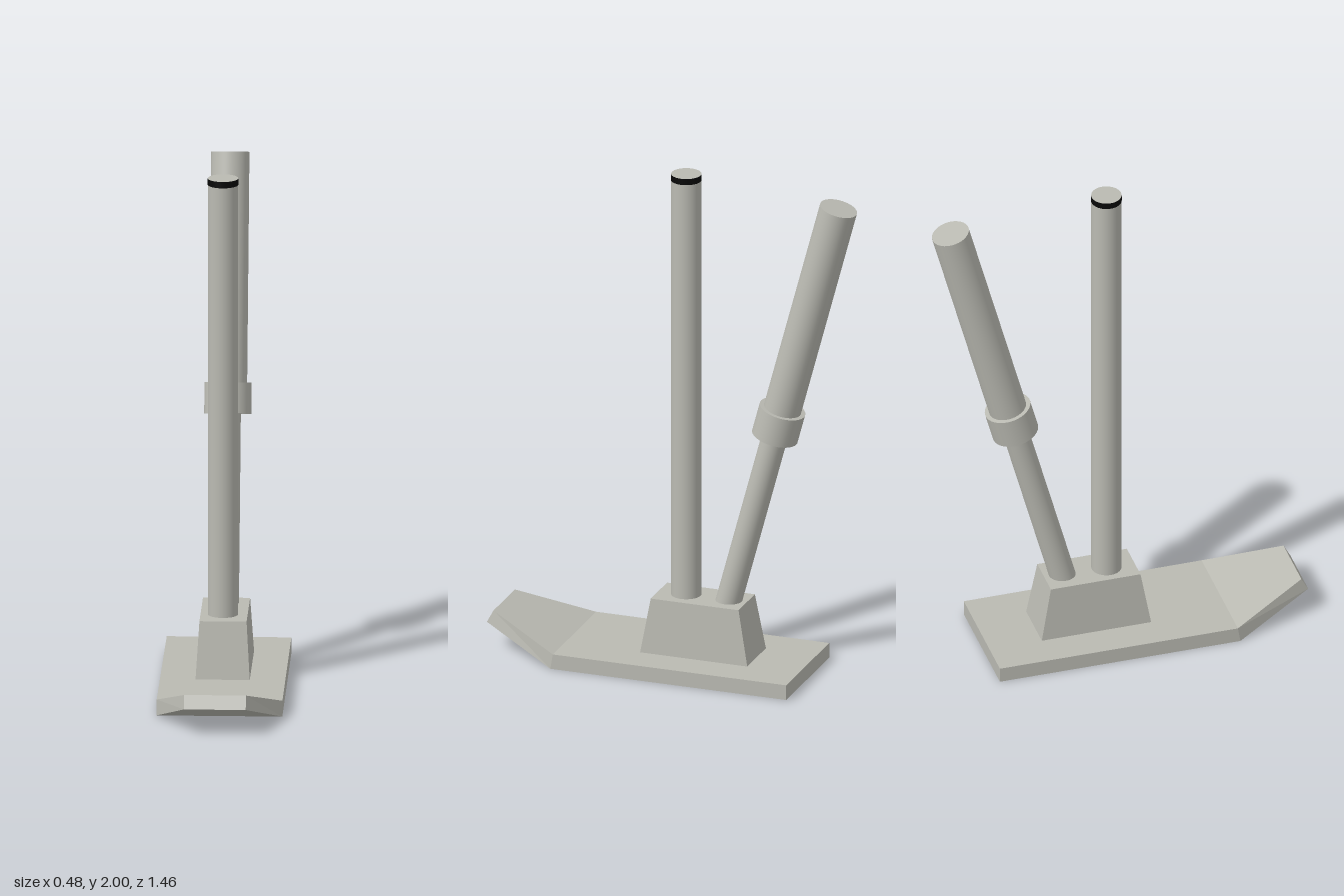
import * as THREE from 'three';

const grey = new THREE.MeshStandardMaterial({ color: 0xbabab2 });
grey.name = 'warm grey';
const black = new THREE.MeshStandardMaterial({ color: 0x080808 });
black.name = 'black';

// Closed solid through four-cornered loops; every loop runs in the same order
function loft(loops) {
  const pos = [];
  const quad = (a, b, c, d) => pos.push(...a, ...b, ...c, ...a, ...c, ...d);
  for (let i = 0; i < loops.length - 1; i++) {
    for (let j = 0; j < 4; j++) {
      const k = (j + 1) % 4;
      quad(loops[i][j], loops[i][k], loops[i + 1][k], loops[i + 1][j]);
    }
  }
  const [a, b, c, d] = loops[0];
  quad(d, c, b, a);
  quad(...loops[loops.length - 1]);
  const g = new THREE.BufferGeometry();
  g.setAttribute('position', new THREE.Float32BufferAttribute(pos, 3));
  g.computeVertexNormals();
  return g;
}

export function createModel() {
  const model = new THREE.Group();
  model.name = 'pedalStand';
  const add = (parent, name, geometry, material = grey) => {
    const mesh = new THREE.Mesh(geometry, material);
    mesh.name = name;
    parent.add(mesh);
    return mesh;
  };

  // Foot plate: flat sole, then a tapering toe bent upwards
  const footSection = (w, zBottom, yBottom, zTop, yTop, x = 0) => [
    [x - w, yBottom, zBottom], [x + w, yBottom, zBottom],
    [x + w, yTop, zTop], [x - w, yTop, zTop],
  ];
  add(model, 'footPlate', loft([
    footSection(0.238, -0.533, 0, -0.533, 0.06),
    footSection(0.24, 0.425, 0, 0.415, 0.06),
    footSection(0.118, 0.73, 0.105, 0.703, 0.155, -0.006),
  ]));

  // Tapered ankle block
  const ring = (w, y, zBack, zFront) => [
    [-w, y, zFront], [w, y, zFront], [w, y, zBack], [-w, y, zBack],
  ];
  add(model, 'ankleBlock', loft([
    ring(0.104, 0.05, -0.327, 0.112),
    ring(0.09, 0.28, -0.285, 0.072),
  ]));

  // Upright post with a black band around its top
  const post = add(model, 'post', new THREE.CylinderGeometry(0.058, 0.058, 1.75, 40));
  post.position.set(-0.004, 1.125, -0.038);
  const band = add(model, 'postBand',
    new THREE.CylinderGeometry(0.0588, 0.0588, 0.025, 40, 1, true), black);
  band.position.set(-0.004, 1.9875, -0.038);

  // Leaning damper: thin rod, collar and thick sleeve on one axis
  const damper = new THREE.Group();
  damper.name = 'damper';
  damper.position.set(0, 0.28, -0.213);
  damper.rotation.x = -0.262;
  model.add(damper);
  const section = (name, radius, from, to) => {
    const mesh = add(damper, name, new THREE.CylinderGeometry(radius, radius, to - from, 40));
    mesh.position.y = (from + to) / 2;
  };
  section('damperRod', 0.05, -0.04, 0.78);
  section('damperCollar', 0.09, 0.72, 0.84);
  section('damperSleeve', 0.073, 0.78, 1.72);

  return model;
}
